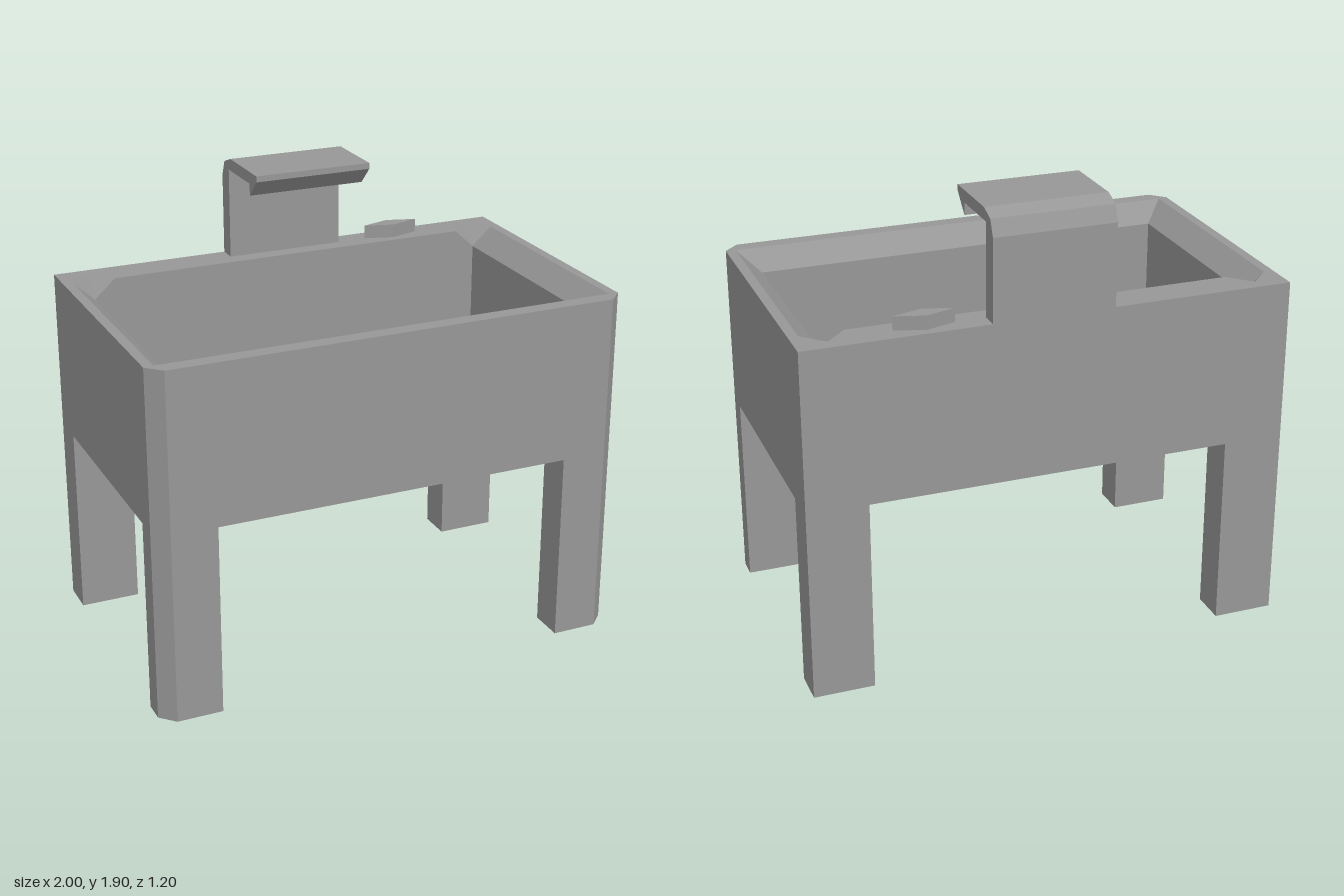
import * as THREE from 'three';

const grey = new THREE.MeshStandardMaterial({ color: 0x979797, side: THREE.DoubleSide });
grey.name = 'grey';

const LEG_TOP = 0.805, DECK = 1.47, LIP = 1.39, FLOOR = 0.87;

function addMesh(parent, name, geometry) {
  const mesh = new THREE.Mesh(geometry, grey);
  mesh.name = name;
  parent.add(mesh);
  return mesh;
}

// Flat convex polygons, each a counterclockwise list of [x, y, z]
function polygons(faces) {
  const out = [];
  for (const f of faces)
    for (let i = 1; i < f.length - 1; i++) out.push(...f[0], ...f[i], ...f[i + 1]);
  const g = new THREE.BufferGeometry();
  g.setAttribute('position', new THREE.Float32BufferAttribute(out, 3));
  g.computeVertexNormals();
  return g;
}

// Shape drawn on the ground plane from [x, z] points
const plan = (pts) => new THREE.Shape(pts.map(([x, z]) => new THREE.Vector2(x, -z)));

// Upright prism over a ground plan
function prism(pts, y, height) {
  const g = new THREE.ExtrudeGeometry(plan(pts), { depth: height, bevelEnabled: false });
  return g.rotateX(-Math.PI / 2).translate(0, y, 0);
}

const at = (y) => ([x, z]) => [x, y, z];
const mirror = (pts) => pts.map(([x, ...rest]) => [-x, ...rest]).reverse();

export function createModel() {
  const model = new THREE.Group();
  model.name = 'washBasin';

  // Outer walls and underside, front corners cut off
  const outline = [[-0.94, 0.6], [0.94, 0.6], [1, 0.54], [1, -0.6], [-1, -0.6], [-1, 0.54]];
  const walls = outline.map((a, i) => {
    const b = outline[(i + 1) % outline.length];
    return [at(LEG_TOP)(a), at(LEG_TOP)(b), at(DECK)(b), at(DECK)(a)];
  });
  walls.push(outline.map(at(LEG_TOP)).reverse());
  addMesh(model, 'outerWalls', polygons(walls));

  // Flat rim with the basin opening and its two notched back corners
  const half = [[0.96, 0.535], [0.96, -0.455], [0.873, -0.545], [0.785, -0.455]];
  const rim = plan(outline);
  rim.holes.push(plan([...half, ...mirror(half)]));
  addMesh(model, 'rim', new THREE.ShapeGeometry(rim).rotateX(-Math.PI / 2).translate(0, DECK, 0));

  // Basin interior: floor, upright walls, and sloping lips
  const pit = [[-0.873, 0.45], [0.873, 0.45], [0.873, -0.455], [-0.873, -0.455]];
  const low = pit.map(at(FLOOR)), mid = pit.map(at(LIP));
  const [front, side, notch, back] = half.map(at(DECK));
  const flip = ([x, y, z]) => [-x, y, z];
  const rightFaces = [
    [low[2], low[1], mid[1], mid[2]],
    [mid[2], mid[1], front, side],
    [mid[2], side, notch],
    [mid[2], notch, back],
  ];
  addMesh(model, 'basinInterior', polygons([
    low,
    [low[1], low[0], mid[0], mid[1]],
    [mid[1], mid[0], flip(front), front],
    [low[3], low[2], mid[2], back, flip(back), mid[3]],
    ...rightFaces,
    ...rightFaces.map(mirror),
  ]));

  // Legs
  const frontLeg = [[0.75, 0.6], [0.94, 0.6], [1, 0.54], [1, 0.45], [0.75, 0.45]];
  const backLeg = [[0.75, -0.45], [1, -0.45], [1, -0.6], [0.75, -0.6]];
  addMesh(model, 'frontLeftLeg', prism(frontLeg, 0, LEG_TOP));
  addMesh(model, 'frontRightLeg', prism(mirror(frontLeg), 0, LEG_TOP));
  addMesh(model, 'backLeftLeg', prism(backLeg, 0, LEG_TOP));
  addMesh(model, 'backRightLeg', prism(mirror(backLeg), 0, LEG_TOP));

  // Wide tap: side profile in [z, y], extruded across x
  const profile = [[-0.6, DECK], [-0.6, 1.81], [-0.573, 1.875], [-0.505, 1.9], [-0.215, 1.9],
    [-0.215, 1.875], [-0.29, 1.8], [-0.29, 1.85], [-0.525, 1.85], [-0.525, DECK]];
  const tapShape = new THREE.Shape(profile.map(([z, y]) => new THREE.Vector2(-z, y)));
  const tap = new THREE.ExtrudeGeometry(tapShape, { depth: 0.5, bevelEnabled: false });
  addMesh(model, 'tap', tap.translate(0, 0, -0.25).rotateY(Math.PI / 2));

  // Diamond-shaped knob
  addMesh(model, 'knob',
    prism([[0.375, -0.527], [0.497, -0.49], [0.62, -0.527], [0.497, -0.564]], DECK, 0.057));

  return model;
}
